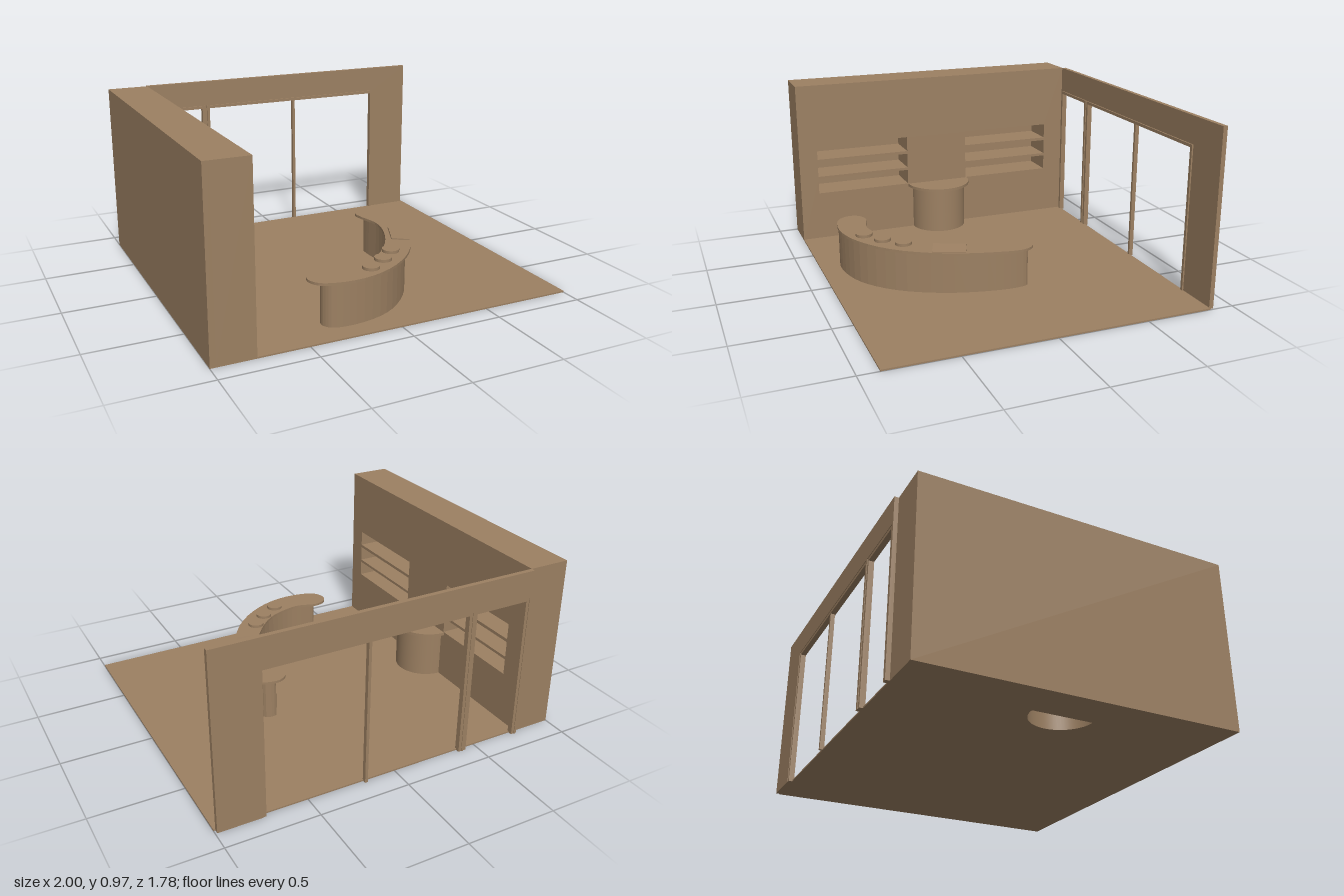
import * as THREE from 'three';

const tan = new THREE.MeshStandardMaterial({ color: 0x9c8062, side: THREE.DoubleSide });
tan.name = 'warm tan';

export function createModel() {
  const model = new THREE.Group();
  model.name = 'shopInterior';

  const add = (name, geometry, x = 0, y = 0, z = 0) => {
    const mesh = new THREE.Mesh(geometry, tan);
    mesh.name = name;
    mesh.position.set(x, y, z);
    model.add(mesh);
    return mesh;
  };
  const extrude = (shape, depth) =>
    new THREE.ExtrudeGeometry(shape, { depth, bevelEnabled: false, curveSegments: 24 });
  // horizontal slab: shape coordinates are x and z, top face at y = 0
  const slab = (shape, depth) => extrude(shape, depth).rotateX(Math.PI / 2);
  const outline = (pts) => new THREE.Shape(pts.map((p) => new THREE.Vector2(p[0], p[1])));
  const blob = (pts) => {
    const curve = new THREE.CatmullRomCurve3(pts.map((p) => new THREE.Vector3(p[0], p[1], 0)), true);
    return new THREE.Shape(curve.getPoints(72).slice(0, -1).map((p) => new THREE.Vector2(p.x, p.y)));
  };

  const wallX = -0.77, backZ = -0.867, frontZ = 0.89, height = 0.97;
  const deskZ = 0.01, deskR = 0.168;

  // Floor, cut out under the half-round desk
  const floor = new THREE.Shape();
  floor.moveTo(wallX, backZ);
  floor.lineTo(1, backZ);
  floor.lineTo(1, frontZ);
  floor.lineTo(wallX, frontZ);
  floor.lineTo(wallX, deskZ + deskR);
  floor.absarc(wallX, deskZ, deskR, Math.PI / 2, -Math.PI / 2, true);
  floor.closePath();
  add('floor', slab(floor, 0.008), 0, 0.008, 0);

  // Thick side wall with two stacks of shelf niches
  const side = outline([[backZ, 0], [frontZ, 0], [frontZ, height], [backZ, height]]);
  for (const [z0, z1] of [[0.21, 0.78], [-0.74, -0.18]]) {
    for (const y of [0.297, 0.403, 0.511]) {
      side.holes.push(outline([[z0, y], [z0, y + 0.09], [z1, y + 0.09], [z1, y]]));
    }
  }
  add('sideWall', extrude(side, 0.2).rotateY(-Math.PI / 2), wallX, 0, 0);
  add('sideWallBack', new THREE.BoxGeometry(0.03, height, frontZ - backZ),
    -0.985, height / 2, (frontZ + backZ) / 2);

  // Back wall with a door and a window opening reaching the ground
  const door = [-0.757, -0.417], glazing = [-0.405, 0.752], top = 0.82;
  add('backWall', extrude(outline([
    [wallX, 0], [door[0], 0], [door[0], top], [door[1], top], [door[1], 0],
    [glazing[0], 0], [glazing[0], top], [glazing[1], top], [glazing[1], 0],
    [0.99, 0], [0.99, height], [wallX, height],
  ]), 0.025), 0, 0, -0.89);

  // Frames lining both openings
  const frame = (name, [a, b], w = 0.017) => add(name, extrude(outline([
    [a, 0], [a + w, 0], [a + w, top - w], [b - w, top - w], [b - w, 0],
    [b, 0], [b, top], [a, top],
  ]), 0.03), 0, 0, -0.887);
  frame('doorFrame', door);
  frame('windowFrame', glazing);
  add('windowMullion', new THREE.BoxGeometry(0.016, top - 0.01, 0.024), 0.178, (top - 0.01) / 2, -0.873);

  // Half-round desk against the side wall, hollow below
  add('deskBody', new THREE.CylinderGeometry(deskR, deskR, 0.28, 32, 1, true, 0, Math.PI),
    wallX, 0.14, deskZ);
  const deskTop = new THREE.Shape();
  deskTop.absarc(0, 0, 0.197, -Math.PI / 2, Math.PI / 2, false);
  deskTop.closePath();
  add('deskTop', slab(deskTop, 0.017), wallX, 0.295, deskZ);

  // Curved bar
  add('barBody', slab(blob([
    [-0.36, 0.71], [-0.33, 0.76], [-0.2, 0.777], [0, 0.725], [0.18, 0.575], [0.31, 0.35],
    [0.375, 0.12], [0.39, -0.04], [0.37, -0.115], [0.31, -0.12], [0.3, -0.07], [0.305, 0.08],
    [0.275, 0.24], [0.17, 0.44], [0.01, 0.595], [-0.15, 0.655], [-0.28, 0.655], [-0.34, 0.66],
  ]), 0.235), 0, 0.24, 0);
  add('barTop', slab(blob([
    [-0.42, 0.68], [-0.38, 0.75], [-0.2, 0.787], [0, 0.735], [0.2, 0.585], [0.35, 0.35],
    [0.43, 0.1], [0.448, -0.06], [0.41, -0.125], [0.31, -0.153], [0.25, -0.12], [0.25, -0.06],
    [0.28, 0.08], [0.25, 0.23], [0.15, 0.42], [0, 0.57], [-0.15, 0.625], [-0.22, 0.63],
    [-0.33, 0.6], [-0.4, 0.625],
  ]), 0.014), 0, 0.25, 0);

  // Round dishes and a tilted menu board on the bar
  for (const [x, z] of [[-0.07, 0.68], [0.04, 0.605], [0.135, 0.515]]) {
    add('dish', new THREE.CylinderGeometry(0.046, 0.046, 0.017, 28), x, 0.2575, z);
  }
  add('menuBoard', new THREE.BoxGeometry(0.1, 0.008, 0.18), 0.3, 0.255, 0.31)
    .rotation.set(0, -0.4, -0.1);

  return model;
}
